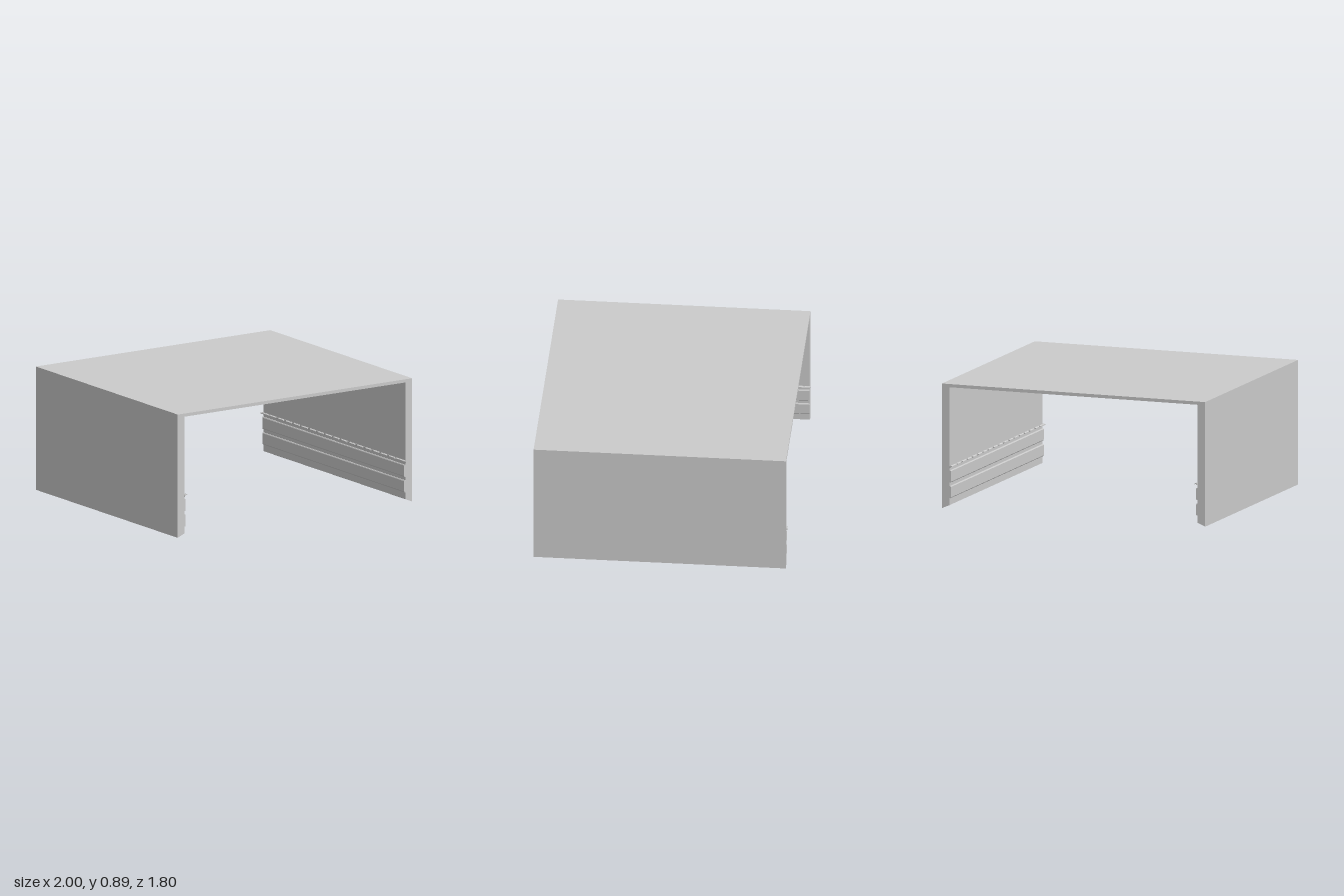
import * as THREE from 'three';

const material = new THREE.MeshStandardMaterial({ color: 0xcccccc, side: THREE.DoubleSide });

// Extrude an x/y outline along z, centred on z = 0
function extrusion(name, points, depth, z = 0) {
  const shape = new THREE.Shape(points.map(([x, y]) => new THREE.Vector2(x, y)));
  const geometry = new THREE.ExtrudeGeometry(shape, { depth, bevelEnabled: false });
  geometry.translate(0, 0, z - depth / 2);
  const mesh = new THREE.Mesh(geometry, material);
  mesh.name = name;
  return mesh;
}

export function createModel() {
  const model = new THREE.Group();
  model.name = 'cover';
  const bodyDepth = 1.79, stripDepth = 1.8;

  // U-shaped cover with bevelled lower edges
  const half = [[1, 0.895], [1, 0], [0.942, 0.025], [0.942, 0.872]];
  const mirrored = half.map(([x, y]) => [-x, y]).reverse();
  model.add(extrusion('coverShell', [...half, ...mirrored], bodyDepth));

  for (const side of [1, -1]) {
    const flip = (pts) => pts.map(([x, y]) => [x * side, y]);
    const rail = new THREE.Group();
    rail.name = side > 0 ? 'leftRail' : 'rightRail';

    // Two flat strips on the inner wall, with small chamfers
    for (const [bottom, top] of [[0.075, 0.162], [0.187, 0.275]]) {
      rail.add(extrusion('railStrip', flip([
        [0.945, bottom], [0.936, bottom], [0.932, bottom + 0.006],
        [0.932, top - 0.006], [0.936, top], [0.945, top],
      ]), bodyDepth));
    }

    // Thin curved lip above the strips
    rail.add(extrusion('railLip', flip([
      [0.945, 0.288], [0.938, 0.298], [0.93, 0.302],
      [0.93, 0.31], [0.94, 0.307], [0.945, 0.3],
    ]), stripDepth));

    // Interrupted edge of the lip
    const count = 18, pitch = stripDepth / count;
    for (let i = 0; i < count; i++) {
      const z = -stripDepth / 2 + pitch * (i + 0.5);
      rail.add(extrusion('lipTooth', flip([
        [0.931, 0.302], [0.921, 0.3], [0.921, 0.306], [0.931, 0.31],
      ]), i === 0 || i === count - 1 ? pitch : pitch * 0.7, z));
    }
    model.add(rail);
  }
  return model;
}
